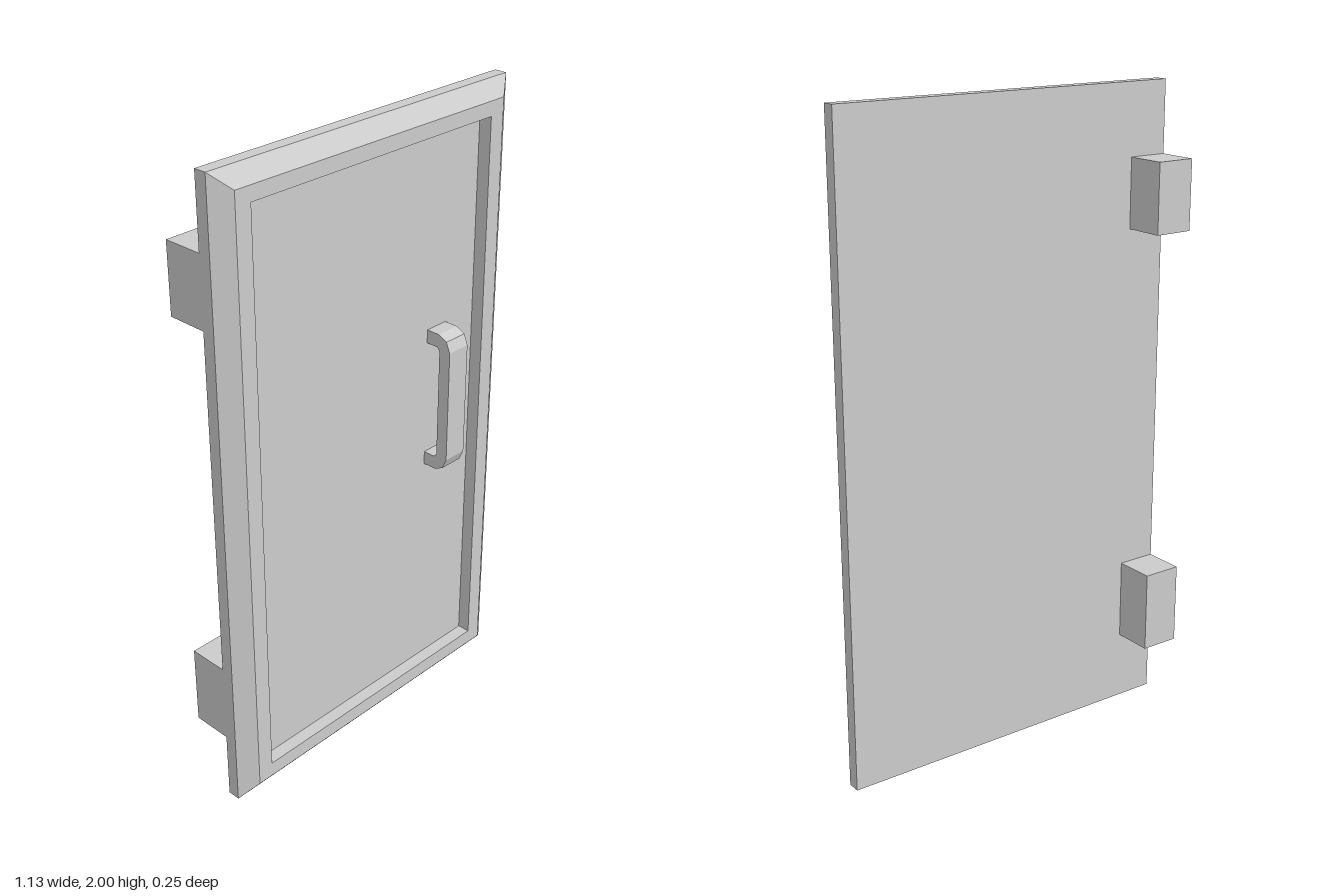
import * as THREE from 'three';

const material = new THREE.MeshStandardMaterial({ color: 0xcccccc, flatShading: true });

function add(group, name, geometry, x = 0, y = 0, z = 0) {
  const mesh = new THREE.Mesh(geometry, material);
  mesh.name = name;
  mesh.position.set(x, y, z);
  group.add(mesh);
}

// Rectangular loops [halfWidth, bottom, top, z] joined in order, with both ends capped
function loftRectangles(loops) {
  const rings = loops.map(([w, b, t, z]) => [[-w, b, z], [w, b, z], [w, t, z], [-w, t, z]]);
  const positions = [];
  const quad = (a, b, c, d) => positions.push(...a, ...b, ...c, ...a, ...c, ...d);
  for (let i = 0; i < rings.length - 1; i++) {
    for (let j = 0; j < 4; j++) {
      const k = (j + 1) % 4;
      quad(rings[i][j], rings[i][k], rings[i + 1][k], rings[i + 1][j]);
    }
  }
  const first = rings[0], last = rings[rings.length - 1];
  quad(first[3], first[2], first[1], first[0]);
  quad(...last);
  const geometry = new THREE.BufferGeometry();
  geometry.setAttribute('position', new THREE.Float32BufferAttribute(positions, 3));
  geometry.computeVertexNormals();
  return geometry;
}

// Bracket side profile (depth, height), mirrored top to bottom and extruded across its width
function handleGeometry(width) {
  const outer = [[0, 0.23], [0.045, 0.23], [0.075, 0.215], [0.089, 0.182]];
  const inner = [[0.049, 0.175], [0.041, 0.187], [0, 0.187]];
  const flip = (points) => points.map(([d, h]) => [d, -h]).reverse();
  const outline = [...outer, ...flip(outer), ...flip(inner), ...inner];
  const shape = new THREE.Shape(outline.map(([d, h]) => new THREE.Vector2(d, h)));
  const geometry = new THREE.ExtrudeGeometry(shape, { depth: width, bevelEnabled: false });
  geometry.translate(0, 0, -width / 2);
  geometry.rotateY(-Math.PI / 2);
  return geometry;
}

export function createModel() {
  const group = new THREE.Group();
  group.name = 'door';

  // Slab with a chamfered front rim and a recessed panel
  add(group, 'doorPanel', loftRectangles([
    [0.565, 0, 2, 0],
    [0.565, 0, 2, 0.04],
    [0.51, 0.05, 1.95, 0.08],
    [0.458, 0.098, 1.905, 0.08],
    [0.458, 0.098, 1.905, 0.038],
  ]));

  // Pull handle standing on the panel
  add(group, 'handle', handleGeometry(0.08), 0.296, 1.065, 0.038);

  // Hinge blocks on the back
  for (const [name, bottom, top] of [['lowerHinge', 0.22, 0.475], ['upperHinge', 1.565, 1.78]]) {
    add(group, name, new THREE.BoxGeometry(0.125, top - bottom, 0.127), -0.5025, (bottom + top) / 2, -0.0635);
  }
  return group;
}
